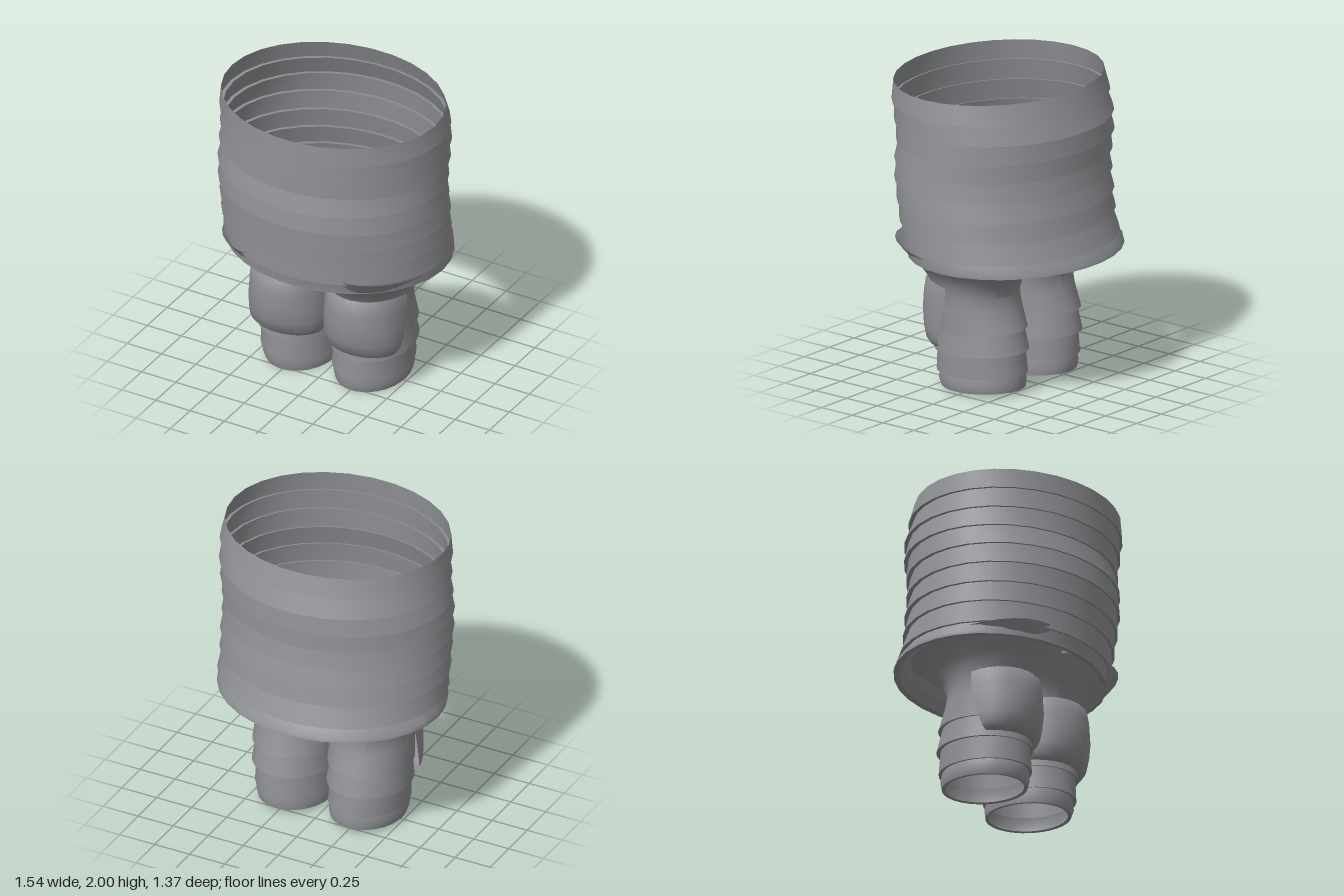
import * as THREE from 'three';
import { toCreasedNormals } from 'three/addons/utils/BufferGeometryUtils.js';

const grey = new THREE.MeshStandardMaterial({ color: 0x8f9094, side: THREE.DoubleSide });
grey.name = 'grey';

// Skin a grid of points (rows of equal length), flipped for mirrored parts
function skin(name, rows, flip, crease) {
  const n = rows[0].length, pos = rows.flat(2), index = [];
  for (let j = 0; j < rows.length - 1; j++) {
    for (let i = 0; i < n - 1; i++) {
      const a = j * n + i, b = a + 1, c = a + n, d = c + 1;
      if (flip) index.push(a, c, b, b, c, d);
      else index.push(a, b, c, b, d, c);
    }
  }
  const g = new THREE.BufferGeometry();
  g.setAttribute('position', new THREE.Float32BufferAttribute(pos, 3));
  g.setIndex(index);
  const mesh = new THREE.Mesh(toCreasedNormals(g, crease), grey);
  mesh.name = name;
  return mesh;
}

// Closed oval ring from its extents; tilt raises the +z side, peak is the x of its widest depth
function ring([y, x0, x1, z0, z1, tilt = 0, peak = (x0 + x1) / 2], side = 1, n = 30) {
  const pts = [], cz = (z0 + z1) / 2;
  for (let i = 0; i <= n; i++) {
    const a = (i % n) / n * Math.PI * 2, c = Math.cos(a), s = Math.sin(a);
    const x = peak + c * (c > 0 ? x1 - peak : peak - x0);
    const z = cz + s * (z1 - z0) / 2;
    pts.push([side * x, y + tilt * z, z]);
  }
  return pts;
}

// Stack of flared bands; each one steps in to the next
function torso() {
  // bottom of each band: y, x min, x max, z back, z front
  const hems = [
    [1.87, -0.755, 0.77, -0.59, 0.69], [1.74, -0.76, 0.762, -0.62, 0.68],
    [1.61, -0.772, 0.755, -0.612, 0.667], [1.48, -0.772, 0.752, -0.595, 0.683],
    [1.35, -0.77, 0.752, -0.597, 0.683], [1.22, -0.768, 0.755, -0.612, 0.662],
    [1.09, -0.768, 0.752, -0.622, 0.64], [0.95, -0.765, 0.75, -0.66, 0.622],
  ];
  const rows = [[2, -0.735, 0.745, -0.545, 0.683]];
  for (const [y, a, b, c, d] of hems) {
    rows.push([y, a, b, c, d], [y + 0.004, a + 0.027, b - 0.02, c + 0.025, d - 0.018]);
  }
  // Bottom rim with an inward lip
  rows.push([0.89, -0.772, 0.737, -0.682, 0.59], [0.868, -0.772, 0.735, -0.688, 0.588],
    [0.87, -0.735, 0.7, -0.65, 0.555]);
  return skin('torso', rows.map(r => ring(r)), false, 0.6);
}

// Open tube: flared hip, knee, two cuffs and a foot rim
function leg(side) {
  const rows = [
    [0.92, -0.14, 0.72, -0.45, 0.55, 0.1, 0.35],
    [0.865, -0.09, 0.66, -0.41, 0.5, 0.05, 0.32],
    [0.80, -0.02, 0.59, -0.33, 0.42, 0.02, 0.29],
    [0.73, 0.0, 0.55, -0.275, 0.36, 0],
    [0.65, 0.0, 0.53, -0.24, 0.32, 0],
    [0.56, 0.0, 0.53, -0.255, 0.31, -0.02],
    [0.405, 0.0, 0.535, -0.31, 0.31, -0.05],
    [0.409, 0.015, 0.515, -0.285, 0.295, -0.05],
    [0.263, 0.0, 0.532, -0.326, 0.315, -0.05],
    [0.267, 0.02, 0.508, -0.3, 0.298, -0.05],
    [0.115, 0.01, 0.51, -0.317, 0.308, -0.05],
    [0.119, 0.025, 0.49, -0.295, 0.285, -0.05],
    [0.06, 0.015, 0.503, -0.305, 0.29, -0.05],
    [0.015, 0.022, 0.49, -0.298, 0.275, -0.05],
    [0.018, 0.045, 0.468, -0.275, 0.252, -0.05],
  ];
  return skin(side > 0 ? 'leftLeg' : 'rightLeg', rows.map(r => ring(r, side)), side < 0, 0.6);
}

// Bulging half shell over the front of the thigh
function thighPad(side) {
  // y, half width, depth, z of the side edge
  const rows = [
    [0.70, 0.01, 0.02, 0.1], [0.735, 0.15, 0.16, 0.07], [0.755, 0.25, 0.26, 0.065],
    [0.70, 0.268, 0.305, 0.07], [0.62, 0.275, 0.32, 0.07], [0.50, 0.277, 0.3, 0.095],
    [0.40, 0.272, 0.26, 0.12], [0.33, 0.262, 0.215, 0.14], [0.295, 0.24, 0.17, 0.15],
    [0.285, 0.14, 0.1, 0.15], [0.31, 0.01, 0.02, 0.15],
  ].map(([y, w, d, z]) => {
    const pts = [];
    for (let i = 0; i <= 16; i++) {
      const a = i / 16 * Math.PI;
      pts.push([side * (0.273 + w * Math.cos(a)), y, z + d * Math.sin(a)]);
    }
    return pts;
  });
  return skin(side > 0 ? 'leftThighPad' : 'rightThighPad', rows, side < 0, 1.0);
}

export function createModel() {
  const model = new THREE.Group();
  model.name = 'bandedSuit';
  model.add(torso());
  for (const side of [1, -1]) model.add(leg(side), thighPad(side));
  return model;
}
